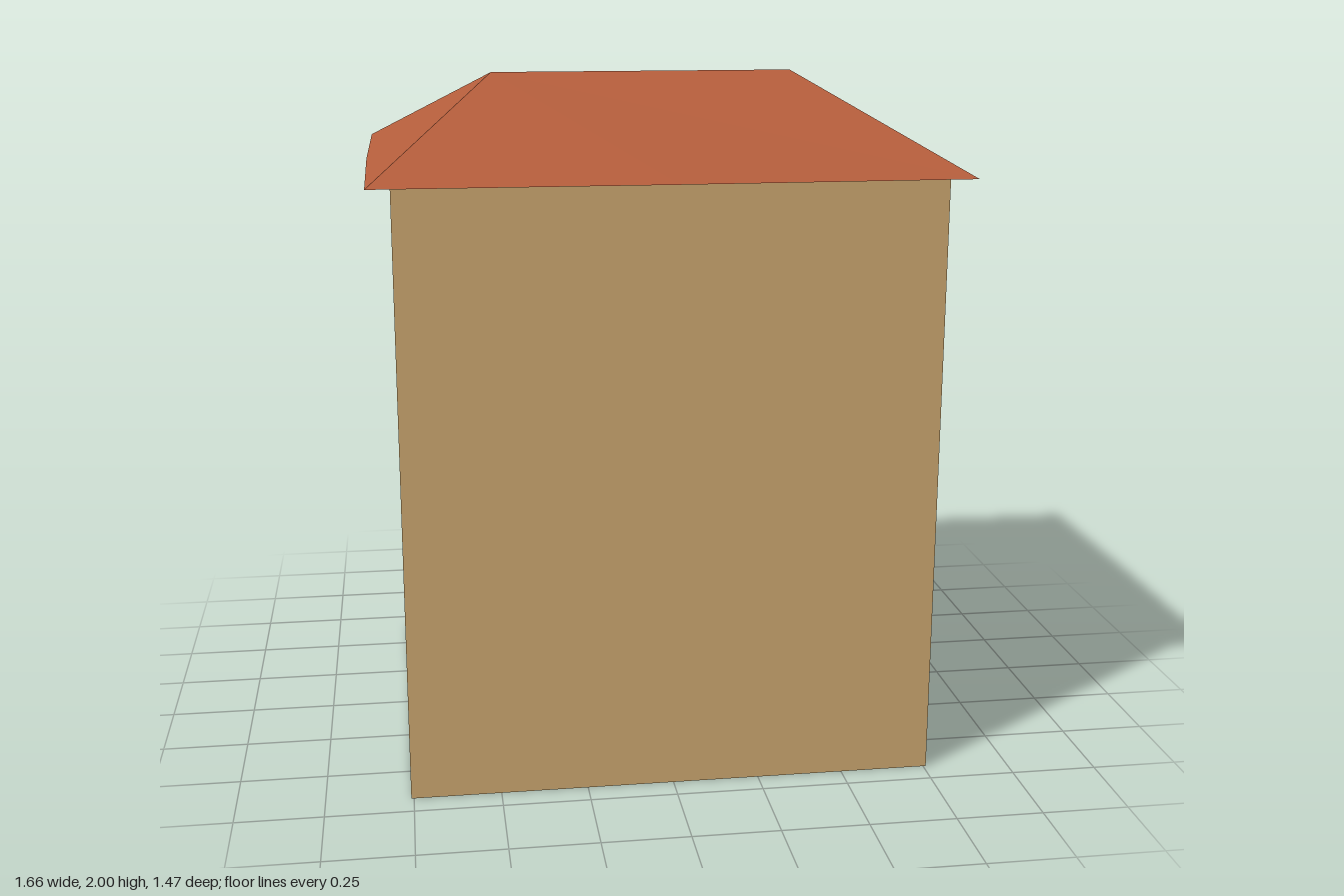
import * as THREE from 'three';

const wallPaint = new THREE.MeshStandardMaterial({ color: 0xcba76f, side: THREE.DoubleSide });
wallPaint.name = 'tan wall';
const roofTile = new THREE.MeshStandardMaterial({ color: 0xb35d3b, side: THREE.DoubleSide });
roofTile.name = 'terracotta roof';

const EAVE = 1.75, RIDGE = 2;

// Flat-shaded mesh from polygons, each fanned from its first corner
function facets(name, polygons, material) {
  const positions = [];
  for (const p of polygons) {
    for (let i = 1; i < p.length - 1; i++) positions.push(...p[0], ...p[i], ...p[i + 1]);
  }
  const geometry = new THREE.BufferGeometry();
  geometry.setAttribute('position', new THREE.Float32BufferAttribute(positions, 3));
  geometry.computeVertexNormals();
  const mesh = new THREE.Mesh(geometry, material);
  mesh.name = name;
  return mesh;
}

export function createModel() {
  const group = new THREE.Group();
  group.name = 'house';

  // Four walls, open at the bottom
  const plan = [[-0.758, 0.673], [0.758, 0.673], [0.758, -0.667], [-0.758, -0.667]];
  const walls = plan.map(([x, z], i) => {
    const [x2, z2] = plan[(i + 1) % 4];
    return [[x, 0, z], [x2, 0, z2], [x2, EAVE, z2], [x, EAVE, z]];
  });
  group.add(facets('walls', walls, wallPaint));

  // Eaves outline: corners with slightly bowed midpoints, anticlockwise from above
  const eaves = [
    [-0.823, 0.727], [0, 0.735], [0.821, 0.727], [0.829, 0],
    [0.821, -0.731], [0, -0.739], [-0.823, -0.731], [-0.829, 0],
  ].map(([x, z]) => [x, EAVE, z]);
  const left = [0.452, RIDGE, 0], right = [-0.454, RIDGE, 0];

  // Hipped roof: two long slopes and two hip ends
  group.add(facets('roof', [
    [right, eaves[0], eaves[1], eaves[2], left],
    [left, eaves[2], eaves[3], eaves[4]],
    [left, eaves[4], eaves[5], eaves[6], right],
    [right, eaves[6], eaves[7], eaves[0]],
  ], roofTile));

  // Flat underside of the eaves
  group.add(facets('soffit', [[...eaves].reverse()], roofTile));

  return group;
}
